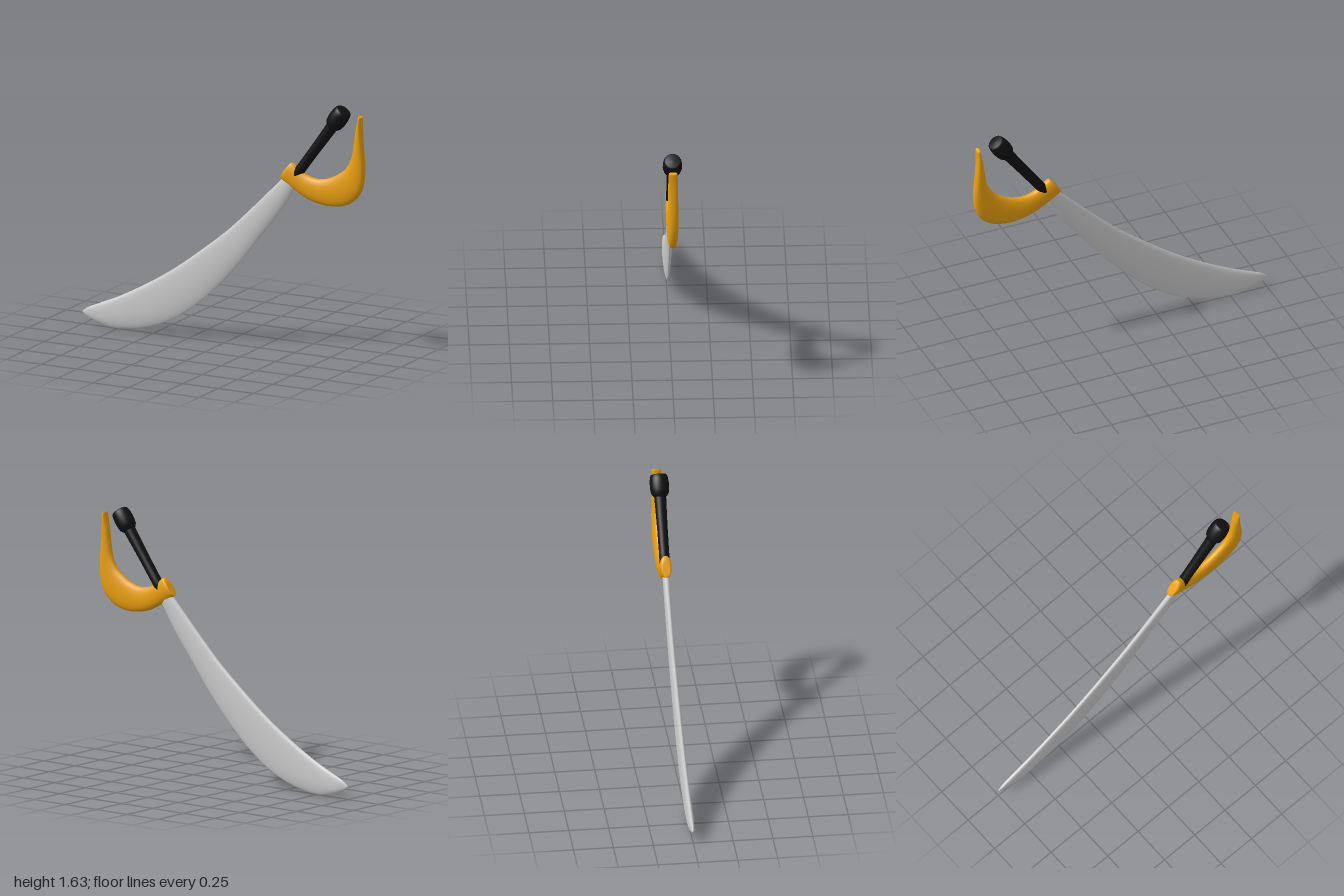
import * as THREE from 'three';

const mat = (color) => new THREE.MeshStandardMaterial({ color });

// Skins rings between two edge lines. Station: [ax, ay, bx, by, half thickness].
// pa and pb shape the section near edge a and edge b (under 1 blunt, over 1 sharp).
function loft(stations, steps, sides, pa, pb) {
  const line = (pick) => new THREE.CatmullRomCurve3(
    stations.map((s) => new THREE.Vector3(...pick(s))), false, 'catmullrom', 0.5);
  const edgeA = line((s) => [s[0], s[1], s[4]]);
  const edgeB = line((s) => [s[2], s[3], s[4]]);
  const pos = [], index = [];
  const ring = (t, scale) => {
    const a = edgeA.getPoint(t), b = edgeB.getPoint(t);
    for (let j = 0; j < sides; j++) {
      const th = (j / sides) * Math.PI * 2, c = Math.cos(th), s = Math.sin(th);
      const z = a.z * Math.sign(s) * Math.abs(s) ** (c > 0 ? pa : pb);
      const k = 0.5 + 0.5 * c * scale;
      pos.push(b.x + (a.x - b.x) * k, b.y + (a.y - b.y) * k, z * scale);
    }
  };
  // Closed start, body, closed end
  ring(0, 0.001);
  ring(0, 0.8);
  for (let i = 0; i <= steps; i++) ring(i / steps, 1);
  ring(1, 0.8);
  ring(1, 0.001);
  const rings = pos.length / 3 / sides;
  for (let i = 0; i < rings - 1; i++) {
    for (let j = 0; j < sides; j++) {
      const n = (j + 1) % sides;
      const p = i * sides + j, q = i * sides + n;
      index.push(p, p + sides, q, q, p + sides, q + sides);
    }
  }
  const g = new THREE.BufferGeometry();
  g.setAttribute('position', new THREE.Float32BufferAttribute(pos, 3));
  g.setIndex(index);
  g.computeVertexNormals();
  return g;
}

export function createModel() {
  const group = new THREE.Group();
  const add = (name, geometry, color) => {
    const mesh = new THREE.Mesh(geometry, mat(color));
    mesh.name = name;
    group.add(mesh);
    return mesh;
  };

  // Curved blade: blunt spine, sharp cutting edge
  add('blade', loft([
    [0.45, 1.15, 0.53, 1.09, 0.02],
    [0.42, 1.12, 0.505, 1.06, 0.021],
    [0.30, 1.0, 0.40, 0.90, 0.021],
    [0.17, 0.87, 0.25, 0.71, 0.021],
    [0.01, 0.72, 0.125, 0.55, 0.021],
    [-0.21, 0.545, -0.035, 0.375, 0.021],
    [-0.39, 0.415, -0.205, 0.22, 0.021],
    [-0.58, 0.30, -0.39, 0.10, 0.021],
    [-0.74, 0.215, -0.58, 0.03, 0.021],
    [-0.87, 0.157, -0.76, 0.004, 0.02],
    [-0.95, 0.122, -0.88, 0.022, 0.016],
    [-0.985, 0.1, -0.96, 0.052, 0.009],
    [-1.0, 0.087, -0.997, 0.078, 0.003],
  ], 60, 20, 0.7, 1.4), 0xcccccc);

  // Collar sweeping into the knuckle guard
  add('guard', loft([
    [0.402, 1.12, 0.458, 1.205, 0.028],
    [0.43, 1.1, 0.485, 1.226, 0.035],
    [0.505, 1.055, 0.53, 1.195, 0.035],
    [0.59, 1.01, 0.59, 1.158, 0.035],
    [0.68, 0.985, 0.665, 1.143, 0.034],
    [0.77, 0.979, 0.735, 1.155, 0.034],
    [0.87, 1.0, 0.80, 1.185, 0.034],
    [0.95, 1.06, 0.865, 1.235, 0.034],
    [0.987, 1.14, 0.905, 1.31, 0.034],
    [0.996, 1.25, 0.923, 1.4, 0.033],
    [0.985, 1.38, 0.933, 1.475, 0.031],
    [0.976, 1.5, 0.948, 1.54, 0.03],
    [0.978, 1.575, 0.956, 1.583, 0.027],
  ], 60, 24, 0.8, 0.8), 0xeaa010);

  // Grip and pommel turned around one tilted axis
  const turned = (points) => new THREE.LatheGeometry(
    points.map(([r, y]) => new THREE.Vector2(r, y)), 28);
  const gripGeometry = turned([[0, 0], [0.034, 0], [0.032, 0.1], [0.033, 0.25],
    [0.036, 0.4], [0.038, 0.47]]);
  const pommelGeometry = turned([[0.036, 0.45], [0.045, 0.46], [0.055, 0.475], [0.06, 0.505],
    [0.06, 0.54], [0.057, 0.57], [0.052, 0.588], [0.044, 0.594], [0, 0.597]]);
  const axis = new THREE.Vector3(0.35, 0.475, 0).normalize();
  for (const [name, geometry] of [['grip', gripGeometry], ['pommel', pommelGeometry]]) {
    const mesh = add(name, geometry, 0x111111);
    mesh.quaternion.setFromUnitVectors(new THREE.Vector3(0, 1, 0), axis);
    mesh.position.set(0.497, 1.128, 0);
  }
  return group;
}
